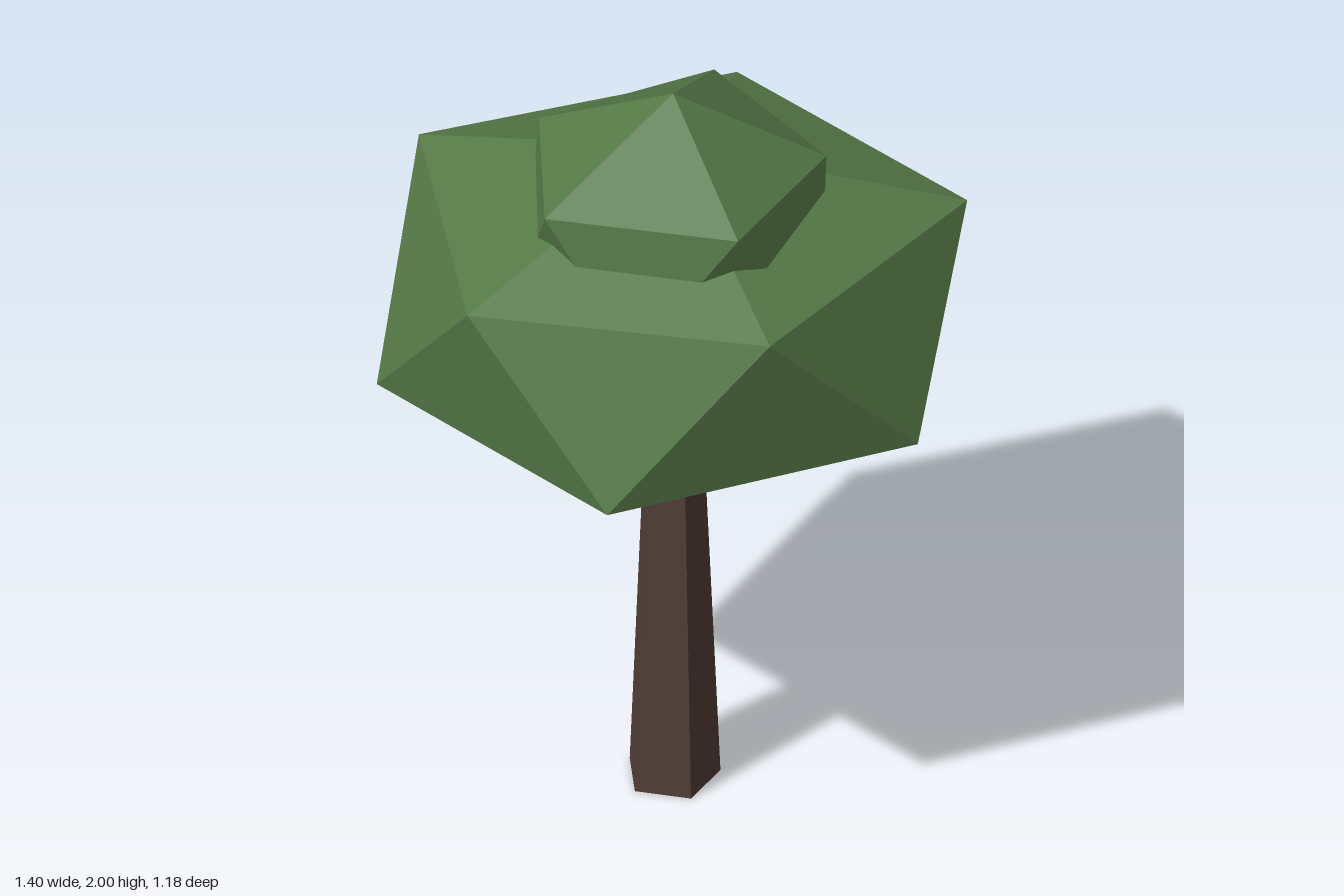
import * as THREE from 'three';

const leafGreen = new THREE.MeshStandardMaterial({ color: 0x567a47 });
const barkBrown = new THREE.MeshStandardMaterial({ color: 0x523f38 });

// Irregular twenty-sided clump: top point, upper ring, lower ring, bottom point
function foliage(name, topY, upper, lower, bottomY) {
  const top = [0, topY, 0], bottom = [0, bottomY, 0], points = [];
  for (let i = 0; i < 5; i++) {
    const j = (i + 1) % 5;
    points.push(
      top, upper[j], upper[i],
      upper[i], upper[j], lower[i],
      upper[j], lower[j], lower[i],
      bottom, lower[i], lower[j],
    );
  }
  const geometry = new THREE.BufferGeometry();
  geometry.setAttribute('position', new THREE.Float32BufferAttribute(points.flat(), 3));
  geometry.computeVertexNormals(); // unshared corners give flat facets
  const mesh = new THREE.Mesh(geometry, leafGreen);
  mesh.name = name;
  return mesh;
}

export function createModel() {
  const tree = new THREE.Group();
  tree.name = 'tree';

  // Tapered five-sided trunk, leaning slightly forward
  const height = 1.2;
  const geometry = new THREE.CylinderGeometry(0.066, 0.116, height, 5, 1, false, Math.PI / 2)
    .translate(0, height / 2, 0).toNonIndexed();
  const p = geometry.attributes.position;
  for (let i = 0; i < p.count; i++) {
    p.setZ(i, p.getZ(i) - 0.035 + 0.013 * p.getY(i) / height);
  }
  geometry.computeVertexNormals();
  const trunk = new THREE.Mesh(geometry, barkBrown);
  trunk.name = 'trunk';
  tree.add(trunk);

  // Wide main crown
  tree.add(foliage('mainCrown', 1.85,
    [[0.7, 1.645, 0], [0.185, 1.61, 0.505], [-0.52, 1.628, 0.34], [-0.57, 1.645, -0.385], [0.205, 1.635, -0.585]],
    [[0.55, 1.2, 0.36], [-0.21, 1.205, 0.59], [-0.705, 1.2, 0], [-0.21, 1.205, -0.59], [0.57, 1.2, -0.38]],
    0.955));

  // Small crown sunk into the top
  tree.add(foliage('topCrown', 2,
    [[0.365, 1.795, 0], [0.125, 1.795, 0.33], [-0.325, 1.808, 0.215], [-0.3, 1.8, -0.21], [0.13, 1.81, -0.355]],
    [[0.33, 1.48, 0.22], [-0.12, 1.48, 0.34], [-0.36, 1.48, 0], [-0.12, 1.48, -0.34], [0.33, 1.48, -0.23]],
    1.28));

  return tree;
}
